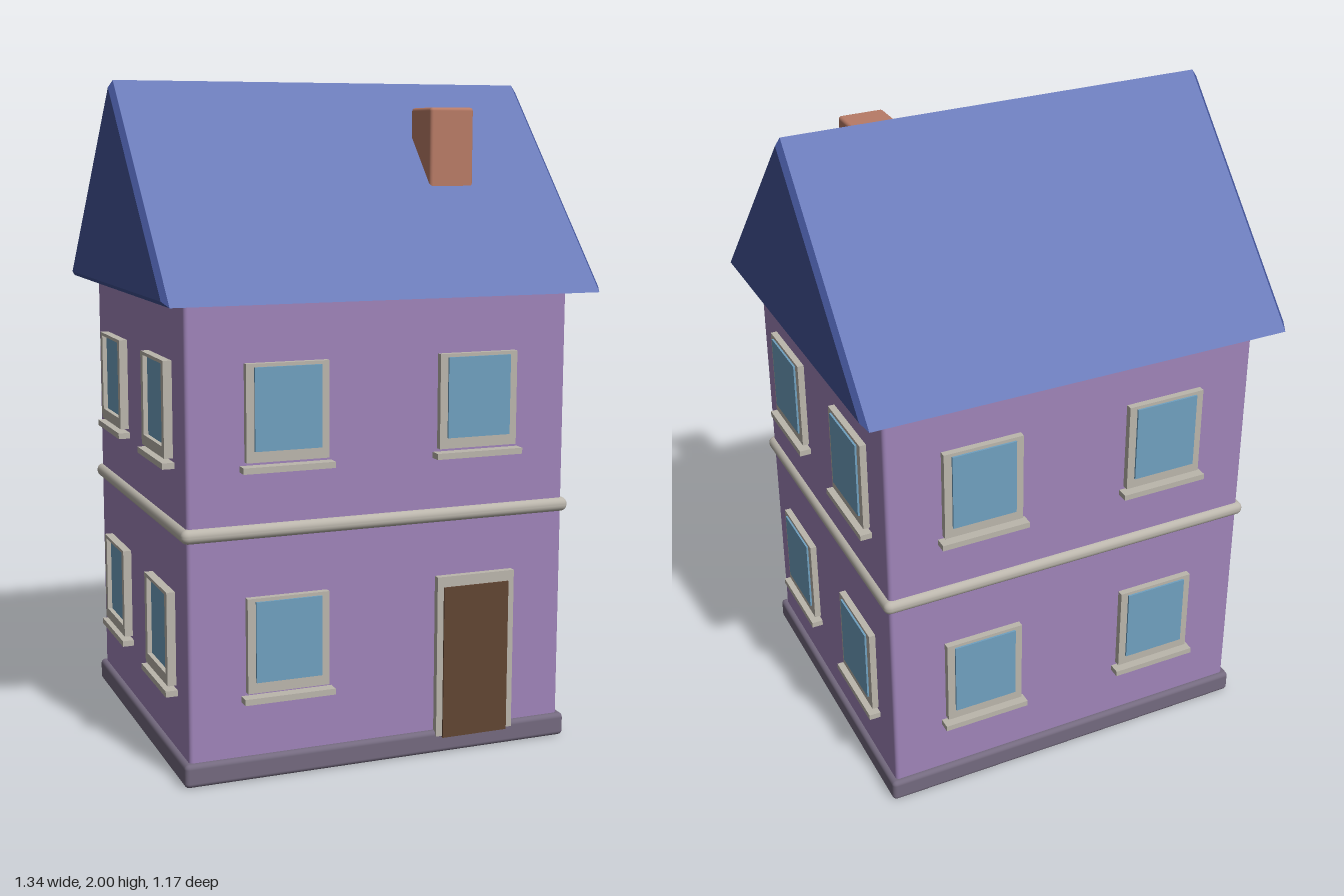
import * as THREE from 'three';
import { RoundedBoxGeometry } from 'three/addons/geometries/RoundedBoxGeometry.js';

const mat = (name, color) => {
  const m = new THREE.MeshStandardMaterial({ color });
  m.name = name;
  return m;
};

export function createModel() {
  const M = {
    wall: mat('lilac wall', 0x9f84b9),
    base: mat('grey plinth', 0x746a7f),
    trim: mat('stone trim', 0xbbb6ac),
    glass: mat('window glass', 0x70a1c0),
    door: mat('brown door', 0x614533),
    slope: mat('roof blue', 0x6b7bb9),
    gable: mat('gable blue', 0x44559a),
    brick: mat('chimney brick', 0xb87b66),
  };
  const house = new THREE.Group();
  house.name = 'house';

  const add = (parent, name, geometry, material, x = 0, y = 0, z = 0) => {
    const mesh = new THREE.Mesh(geometry, material);
    mesh.name = name;
    mesh.position.set(x, y, z);
    parent.add(mesh);
    return mesh;
  };
  const rounded = (w, h, d, r) => new RoundedBoxGeometry(w, h, d, 3, r);

  // Walls, plinth and the band between the storeys
  const HX = 0.592, HZ = 0.506;
  const body = new THREE.Group();
  body.name = 'body';
  body.position.x = -0.0025;
  house.add(body);
  add(body, 'walls', rounded(HX * 2, 1.38, HZ * 2, 0.012), M.wall, 0, 0.71, 0);
  add(body, 'plinth', rounded(1.218, 0.07, 1.044, 0.014), M.base, 0, 0.035, 0);
  add(body, 'storeyBand', rounded(1.218, 0.043, 1.044, 0.02), M.trim, 0, 0.733, 0);

  // Flat surround with a rectangular opening; starts just inside the wall
  const surround = (w, y0, y1, hw, h0, h1, out) => {
    const rect = (T, a, b, c) => new T([[-a, b], [a, b], [a, c], [-a, c]]
      .map(([x, y]) => new THREE.Vector2(x, y)));
    const shape = rect(THREE.Shape, w / 2, y0, y1);
    shape.holes.push(rect(THREE.Path, hw / 2, h0, h1));
    const g = new THREE.ExtrudeGeometry(shape, { depth: out + 0.01, bevelEnabled: false });
    return g.translate(0, 0, -0.01);
  };

  // Window: origin at the wall face, at the bottom of the surround
  const addWindow = (wall, x, y, frameOut, glassOut) => {
    const win = new THREE.Group();
    win.name = 'window';
    win.position.set(x, y, 0);
    add(win, 'windowFrame', surround(0.248, 0, 0.28, 0.2, 0.032, 0.27, frameOut), M.trim);
    add(win, 'windowGlass', new THREE.BoxGeometry(0.2, 0.238, 0.009), M.glass,
      0, 0.151, glassOut - 0.0045);
    add(win, 'windowSill', new THREE.BoxGeometry(0.276, 0.018, 0.046), M.trim,
      0, -0.019, 0.013);
    wall.add(win);
  };

  // Each side: turn, distance of the wall face, window spacing, depths
  const sides = [
    ['frontWall', 0, HZ, 0.297, 0.02, 0.026],
    ['leftWall', Math.PI / 2, HX, 0.254, 0.02, 0.026],
    ['backWall', Math.PI, HZ, 0.297, 0.02, 0.026],
    ['rightWall', -Math.PI / 2, HX, 0.254, 0.026, 0.012],
  ];
  for (const [name, turn, dist, dx, frameOut, glassOut] of sides) {
    const wall = new THREE.Group();
    wall.name = name;
    wall.rotation.y = turn;
    wall.position.set(Math.sin(turn) * dist, 0, Math.cos(turn) * dist);
    body.add(wall);
    for (const y of [0.262, 0.934]) {
      for (const s of [-1, 1]) {
        if (name === 'frontWall' && s > 0 && y < 0.5) continue;
        addWindow(wall, s * dx, y, frameOut, glassOut);
      }
    }
    // Front door takes the place of one window
    if (name === 'frontWall') {
      const door = new THREE.Group();
      door.name = 'frontDoor';
      door.position.x = 0.297;
      add(door, 'doorFrame', surround(0.252, 0.055, 0.548, 0.208, 0.06, 0.516, 0.021), M.trim);
      add(door, 'doorPanel', new THREE.BoxGeometry(0.212, 0.466, 0.03), M.door, 0, 0.283, 0.011);
      wall.add(door);
    }
  }

  // Roof: triangular sections along x, the end ones inset to bevel the gables
  const yEave = 1.383, halfZ = 0.585, bevel = 0.015;
  const pitch = Math.atan2(2 - yEave, halfZ);
  const section = (x, inset) => {
    const z = halfZ - inset / Math.tan(pitch / 2);
    return [[x, yEave + inset, z], [x, 2 - inset / Math.cos(pitch), 0], [x, yEave + inset, -z]];
  };
  const rings = [section(-0.67, bevel), section(-0.655, 0), section(0.655, 0), section(0.67, bevel)];
  const positions = [];
  const roofGeo = new THREE.BufferGeometry();
  const tri = (material, ...corners) => {
    roofGeo.addGroup(positions.length / 3, 3, material);
    corners.forEach((c) => positions.push(...c));
  };
  for (let i = 0; i < 3; i++) {
    for (let j = 0; j < 3; j++) {
      const k = (j + 1) % 3, m = i === 1 && j < 2 ? 0 : 1;
      const a = rings[i][j], b = rings[i + 1][j], c = rings[i + 1][k], d = rings[i][k];
      tri(m, a, b, c);
      tri(m, a, c, d);
    }
  }
  tri(1, ...rings[0]);
  tri(1, rings[3][2], rings[3][1], rings[3][0]);
  roofGeo.setAttribute('position', new THREE.Float32BufferAttribute(positions, 3));
  roofGeo.computeVertexNormals();
  add(house, 'roof', roofGeo, [M.slope, M.gable]);

  // Chimney through the front slope
  add(house, 'chimney', rounded(0.142, 0.4, 0.144, 0.01), M.brick, 0.308, 1.722, 0.222);

  return house;
}
